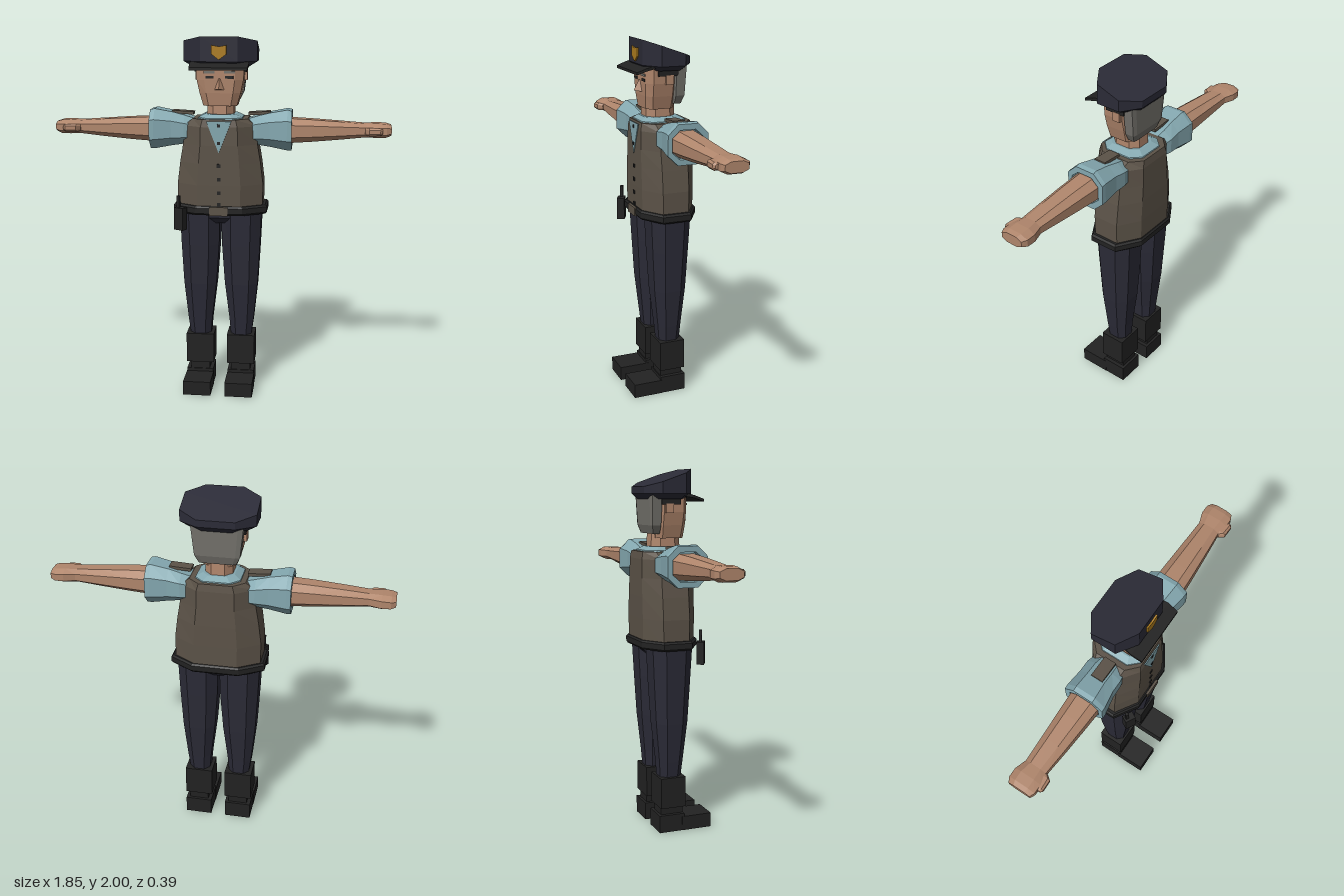
import * as THREE from 'three';

const paint = (name, color) => {
  const m = new THREE.MeshStandardMaterial({ color });
  m.name = name;
  return m;
};

// Eight-sided outline spanning a0..a1 and b0..b1; k is the share of each side left flat
function octagon(a0, a1, b0, b1, k = 0.5) {
  const ca = (a0 + a1) / 2, cb = (b0 + b1) / 2, w = (a1 - a0) / 2, d = (b1 - b0) / 2;
  return [[1, k], [k, 1], [-k, 1], [-1, k], [-1, -k], [-k, -1], [k, -1], [1, -k]]
    .map(([a, b]) => [ca + a * w, cb + b * d]);
}
// Level ring (y may depend on z) and upright ring across an arm
const level = (y, x0, x1, z0, z1, k) => octagon(x0, x1, z0, z1, k)
  .map(([x, z]) => [x, typeof y === 'function' ? y(z) : y, z]);
const across = (x, y0, y1, z0, z1, k) => octagon(y0, y1, z0, z1, k).map(([y, z]) => [x, y, z]);

// Flat-faced solid through a list of rings, capped at both ends, always facing outwards
function loft(rings) {
  const tris = [], n = rings[0].length;
  for (let r = 0; r + 1 < rings.length; r++) {
    for (let i = 0; i < n; i++) {
      const j = (i + 1) % n, a = rings[r], b = rings[r + 1];
      tris.push([a[i], b[i], b[j]], [a[i], b[j], a[j]]);
    }
  }
  const first = rings[0], last = rings[rings.length - 1];
  for (let i = 1; i + 1 < n; i++) {
    tris.push([first[0], first[i], first[i + 1]], [last[0], last[i + 1], last[i]]);
  }
  const v = (p) => new THREE.Vector3(...p);
  const volume = tris.reduce((s, [a, b, c]) => s + v(a).dot(v(b).cross(v(c))), 0);
  if (volume < 0) tris.forEach((t) => t.reverse());
  const g = new THREE.BufferGeometry();
  g.setAttribute('position', new THREE.Float32BufferAttribute(tris.flat(2), 3));
  g.computeVertexNormals();
  return g;
}

// Box given by its limits
const box = (x0, x1, y0, y1, z0, z1) =>
  new THREE.BoxGeometry(x1 - x0, y1 - y0, z1 - z0)
    .translate((x0 + x1) / 2, (y0 + y1) / 2, (z0 + z1) / 2);

// Thin plate cut from an outline, facing +z
const plate = (points, z, depth = 0.006) =>
  new THREE.ExtrudeGeometry(new THREE.Shape(points.map((p) => new THREE.Vector2(...p))),
    { depth, bevelEnabled: false }).translate(0, 0, z);

export function createModel() {
  const model = new THREE.Group();
  model.name = 'officer';
  const skin = paint('skin', 0xb0866c), shirt = paint('shirtBlue', 0x84a8b0);
  const vestCloth = paint('vestBrown', 0x5c5348), navy = paint('navyCloth', 0x2b2b37);
  const black = paint('blackLeather', 0x222222), grey = paint('greyHair', 0x73716b);
  const gold = paint('gold', 0xac7c1e);
  const add = (name, geometry, material, parent = model) => {
    const m = new THREE.Mesh(geometry, material);
    m.name = name;
    parent.add(m);
    return m;
  };

  // Torso
  add('vest', loft([
    level(1.05, -0.235, 0.235, -0.18, 0.115),
    level(1.2, -0.237, 0.237, -0.182, 0.118),
    level(1.32, -0.222, 0.222, -0.182, 0.118),
    level(1.42, -0.205, 0.205, -0.18, 0.118),
    level(1.52, -0.2, 0.2, -0.178, 0.116),
    level(1.56, -0.15, 0.15, -0.172, 0.108, 0.6),
  ]), vestCloth);
  add('shirtCollar', loft([
    level(1.545, -0.125, 0.125, -0.155, 0.1, 0.6),
    level(1.566, -0.12, 0.12, -0.15, 0.098, 0.6),
    level(1.585, -0.085, 0.085, -0.115, 0.075, 0.6),
  ]), shirt);
  add('shirtFront', plate([[0, 1.38], [0.068, 1.552], [-0.068, 1.552]], 0.115), shirt);
  for (const y of [1.53, 1.435]) add('shirtButton', box(-0.008, 0.008, y - 0.008, y + 0.008, 0.115, 0.124), black);
  for (const y of [1.31, 1.235, 1.16, 1.095]) {
    add('vestButton', box(-0.01, 0.01, y - 0.01, y + 0.01, 0.11, 0.122), black);
  }

  // Belt with buckle and radio
  add('belt', loft([
    level(1.035, -0.25, 0.25, -0.185, 0.122),
    level(1.045, -0.26, 0.26, -0.193, 0.13),
    level(1.075, -0.26, 0.26, -0.193, 0.13),
    level(1.085, -0.25, 0.25, -0.185, 0.122),
  ]), black);
  add('buckle', box(-0.05, 0.05, 1.035, 1.083, 0.12, 0.137), vestCloth);
  const radio = new THREE.Group();
  radio.name = 'radio';
  radio.position.set(-0.212, 0, 0.118);
  radio.rotation.y = -0.5;
  add('radioBody', box(-0.03, 0.03, 0.95, 1.075, -0.02, 0.022), black, radio);
  add('radioAntenna', box(-0.02, -0.004, 1.07, 1.14, -0.008, 0.008), black, radio);
  model.add(radio);

  // Hips
  add('hips', loft([
    level(0.975, -0.05, 0.05, -0.1, 0.045),
    level(1.01, -0.2, 0.2, -0.14, 0.08),
    level(1.05, -0.22, 0.22, -0.145, 0.085),
  ]), navy);

  // Head
  add('neck', loft([level(1.54, -0.075, 0.075, -0.105, 0.065), level(1.66, -0.072, 0.072, -0.1, 0.06)]), skin);
  add('head', loft([
    level(1.63, -0.092, 0.092, -0.085, 0.072, 0.65),
    level(1.7, -0.112, 0.112, -0.09, 0.08, 0.65),
    level(1.77, -0.127, 0.127, -0.09, 0.083, 0.65),
    level(1.86, -0.132, 0.132, -0.09, 0.083, 0.65),
  ]), skin);
  add('hair', loft([
    level(1.655, -0.098, 0.098, -0.118, -0.072, 0.8),
    level(1.7, -0.12, 0.12, -0.132, -0.07, 0.8),
    level(1.86, -0.137, 0.137, -0.137, -0.068, 0.8),
  ]), grey);
  add('nose', loft([
    [[-0.028, 1.718, 0.078], [0.028, 1.718, 0.078], [0, 1.723, 0.118]],
    [[-0.007, 1.78, 0.078], [0.007, 1.78, 0.078], [0, 1.78, 0.088]],
  ]), skin);

  // Cap, its crown sloping down to the back
  const slope = (z) => 2 - (0.105 - z) * 0.35;
  add('capCrown', loft([
    level(1.84, -0.155, 0.155, -0.14, 0.08),
    level(1.868, -0.2, 0.2, -0.165, 0.105),
    level(slope, -0.2, 0.2, -0.165, 0.105),
  ]), navy);
  add('capVisor', loft([
    [[-0.15, 1.875, 0.04], [0.15, 1.875, 0.04], [0.15, 1.855, 0.04], [-0.15, 1.855, 0.04]],
    [[-0.16, 1.86, 0.1], [0.16, 1.86, 0.1], [0.16, 1.845, 0.1], [-0.16, 1.845, 0.1]],
    [[-0.155, 1.84, 0.157], [0.155, 1.84, 0.157], [0.155, 1.826, 0.157], [-0.155, 1.826, 0.157]],
  ]), black);
  add('capBadge', plate([[0, 1.878], [0.04, 1.908], [0.04, 1.955], [0, 1.948], [-0.04, 1.955], [-0.04, 1.908]],
    0.105, 0.009), gold);

  // Paired parts
  for (const s of [1, -1]) {
    const side = s > 0 ? 'left' : 'right';
    const span = (a, b) => (s > 0 ? [a, b] : [-b, -a]);

    // Face
    add(side + 'Eye', box(...span(0.032, 0.075), 1.778, 1.792, 0.078, 0.086), black);
    add(side + 'Brow', box(...span(0.025, 0.085), 1.806, 1.818, 0.078, 0.089), grey);
    add(side + 'Ear', box(...span(0.12, 0.143), 1.765, 1.815, -0.055, -0.012), skin);
    add(side + 'Sideburn', box(...span(0.12, 0.141), 1.81, 1.855, -0.08, 0.03), black);

    // Sleeve, with a hollow cuff
    add(side + 'Sleeve', loft([
      across(s * 0.13, 1.42, 1.55, -0.12, 0.05),
      across(s * 0.2, 1.415, 1.572, -0.137, 0.062),
      across(s * 0.27, 1.405, 1.59, -0.135, 0.064),
      across(s * 0.365, 1.388, 1.608, -0.143, 0.08),
      across(s * 0.39, 1.388, 1.602, -0.143, 0.08),
      across(s * 0.39, 1.418, 1.572, -0.115, 0.056),
      across(s * 0.36, 1.42, 1.57, -0.113, 0.054),
    ]), shirt);
    const epaulette = add(side + 'Epaulette', box(-0.06, 0.06, -0.008, 0.008, -0.033, 0.033), vestCloth);
    epaulette.position.set(s * 0.212, 1.586, -0.03);
    epaulette.rotation.z = s * 0.06;

    // Bare arm and hand
    add(side + 'Arm', loft([
      across(s * 0.35, 1.425, 1.562, -0.112, 0.053),
      across(s * 0.5, 1.435, 1.555, -0.106, 0.045),
      across(s * 0.65, 1.448, 1.545, -0.1, 0.035),
      across(s * 0.79, 1.462, 1.535, -0.095, 0.024),
      across(s * 0.85, 1.46, 1.538, -0.115, 0.036),
      across(s * 0.9, 1.462, 1.535, -0.115, 0.036),
      across(s * 0.926, 1.472, 1.528, -0.1, 0.024),
    ]), skin);
    add(side + 'Thumb', loft([
      across(s * 0.785, 1.48, 1.515, 0, 0.03),
      across(s * 0.805, 1.475, 1.52, 0.012, 0.058),
      across(s * 0.865, 1.477, 1.518, 0.02, 0.06),
      across(s * 0.878, 1.485, 1.51, 0.022, 0.05),
    ]), skin);

    // Trouser leg
    add(side + 'Leg', loft([
      [0.28, 0.06, 0.172, -0.092, 0.026], [0.4, 0.05, 0.188, -0.1, 0.038],
      [0.62, 0.024, 0.21, -0.122, 0.062], [0.85, 0.008, 0.222, -0.135, 0.075],
      [1.05, 0.004, 0.23, -0.145, 0.085],
    ].map(([y, x0, x1, z0, z1]) => level(y, ...span(x0, x1), z0, z1))), navy);

    // Boot
    add(side + 'BootShaft', box(...span(0.038, 0.196), 0.14, 0.312, -0.106, 0.04), black);
    add(side + 'BootAnkle', box(...span(0.063, 0.172), 0.08, 0.15, -0.098, 0.03), black);
    add(side + 'BootHeel', box(...span(0.042, 0.194), 0, 0.098, -0.113, 0.035), black);
    add(side + 'BootToe', box(...span(0.04, 0.196), 0, 0.08, 0.02, 0.195), black);
  }
  return model;
}
